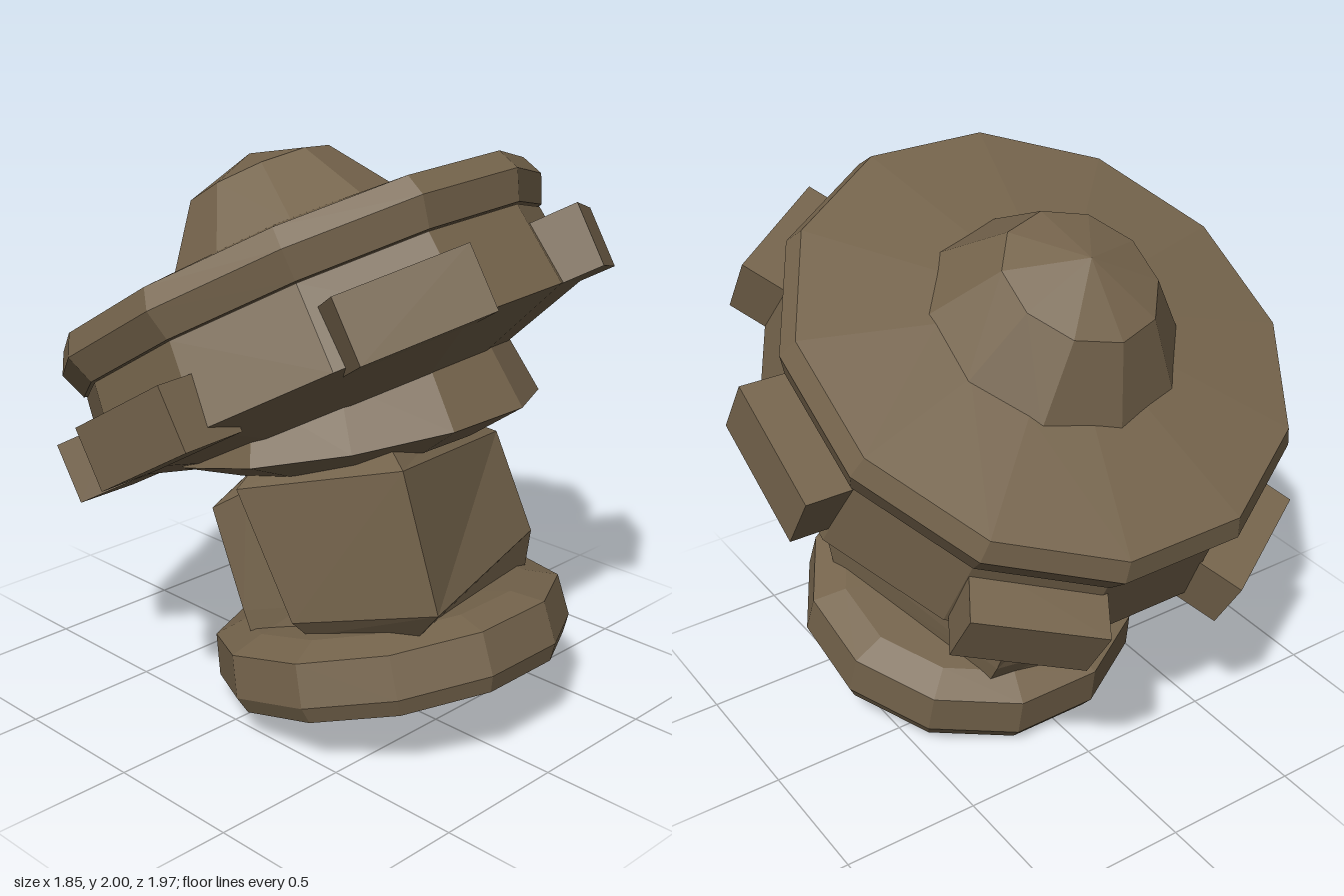
import * as THREE from 'three';

const brown = new THREE.MeshStandardMaterial({ color: 0x75644c, flatShading: true });
brown.name = 'earthBrown';

function part(name, geometry, parent) {
  const flat = geometry.index ? geometry.toNonIndexed() : geometry;
  flat.computeVertexNormals();
  const mesh = new THREE.Mesh(flat, brown);
  mesh.name = name;
  parent.add(mesh);
  return mesh;
}

// Faceted solid of revolution, profile listed from bottom to top as [radius, height]
function turned(name, profile, sides, phase, parent) {
  const points = profile.map(([r, y]) => new THREE.Vector2(r, y));
  return part(name, new THREE.LatheGeometry(points, sides, phase), parent);
}

// Skin between rings of equal point count, each ring running counterclockwise from above
function loft(rings) {
  const n = rings[0].length;
  const index = [];
  for (let k = 0; k < rings.length - 1; k++) {
    for (let i = 0; i < n; i++) {
      const a = k * n + i, b = k * n + (i + 1) % n;
      index.push(a, b, b + n, a, b + n, a + n);
    }
  }
  const geometry = new THREE.BufferGeometry();
  geometry.setAttribute('position', new THREE.Float32BufferAttribute(rings.flat(2), 3));
  geometry.setIndex(index);
  return geometry;
}

function tiltedGroup(name, position, degreesX, degreesZ, parent) {
  const group = new THREE.Group();
  group.name = name;
  group.position.set(...position);
  group.rotation.x = THREE.MathUtils.degToRad(degreesX);
  group.rotation.z = THREE.MathUtils.degToRad(degreesZ);
  parent.add(group);
  return group;
}

export function createModel() {
  const model = new THREE.Group();
  model.name = 'tiltedCap';
  const step = Math.PI / 12;

  // Lower half: foot disc, blocky stem and collar, leaning 15 degrees
  const lower = tiltedGroup('lowerBody', [0.29, 0.152, -0.02], 0, 14.8, model);
  turned('footDisc', [[0, 0], [0.605, 0], [0.635, 0.06], [0.62, 0.21], [0.5, 0.25], [0, 0.26]], 12, step, lower);

  // Uneven stem with a narrow slanted notch at the front and a sloping shoulder, rings of [x, y, z]
  const foot = [[0.45, 0.23, 0.3], [0.28, 0.23, -0.45], [-0.46, 0.21, -0.22], [-0.51, 0.21, 0.07],
    [-0.22, 0.21, 0.45], [0.0, 0.21, 0.37], [0.05, 0.24, 0.43]];
  const waist = [[0.59, 0.32, 0.34], [0.32, 0.36, -0.47], [-0.49, 0.32, -0.22], [-0.53, 0.32, 0.07],
    [-0.23, 0.32, 0.46], [-0.02, 0.32, 0.37], [0.04, 0.3, 0.48]];
  const shoulder = [[0.56, 0.8, 0.35], [0.2, 0.72, -0.51], [-0.54, 0.69, -0.2], [-0.55, 0.7, 0.07],
    [-0.29, 0.69, 0.46], [-0.14, 0.74, 0.42], [-0.09, 0.77, 0.5]];
  const neck = shoulder.map(([x, y, z]) => [x * 0.7, y + 0.1, z * 0.7]);
  part('stem', loft([foot, waist, shoulder, neck]), lower);

  turned('collar', [[0, 0.79], [0.45, 0.8], [0.66, 0.88], [0.58, 1.1], [0, 1.14]], 12, step, lower);

  // Upper half: wide cap with dome, ring and teeth, leaning 30 degrees and slightly forward
  const head = tiltedGroup('head', [-0.185, 1.57, 0.03], 3, 30, model);
  const capPhase = step + 0.04;
  turned('capRim', [[0.8, -0.18], [0.865, -0.175], [0.905, -0.075], [0.87, 0], [0.42, 0.065], [0, 0.07]], 12, capPhase, head);
  turned('dome', [[0.445, 0.05], [0.27, 0.295], [0, 0.385]], 10, Math.PI / 10, head);
  turned('toothedRing', [[0, -0.6], [0.53, -0.58], [0.89, -0.47], [0.855, -0.18], [0.7, -0.15]], 12, capPhase, head);

  // Six teeth around the ring: [angle in degrees, height, distance]
  const teeth = [[-92, -0.3, 0.87], [-35, -0.36, 0.87], [25, -0.38, 0.87],
    [86, -0.41, 0.85], [148, -0.4, 0.88], [207, -0.34, 0.87]];
  for (const [degrees, y, r] of teeth) {
    const a = THREE.MathUtils.degToRad(degrees);
    const tooth = part('tooth', new THREE.BoxGeometry(0.24, 0.22, 0.46), head);
    tooth.position.set(r * Math.cos(a), y, r * Math.sin(a));
    tooth.rotation.y = -a;
  }
  return model;
}
